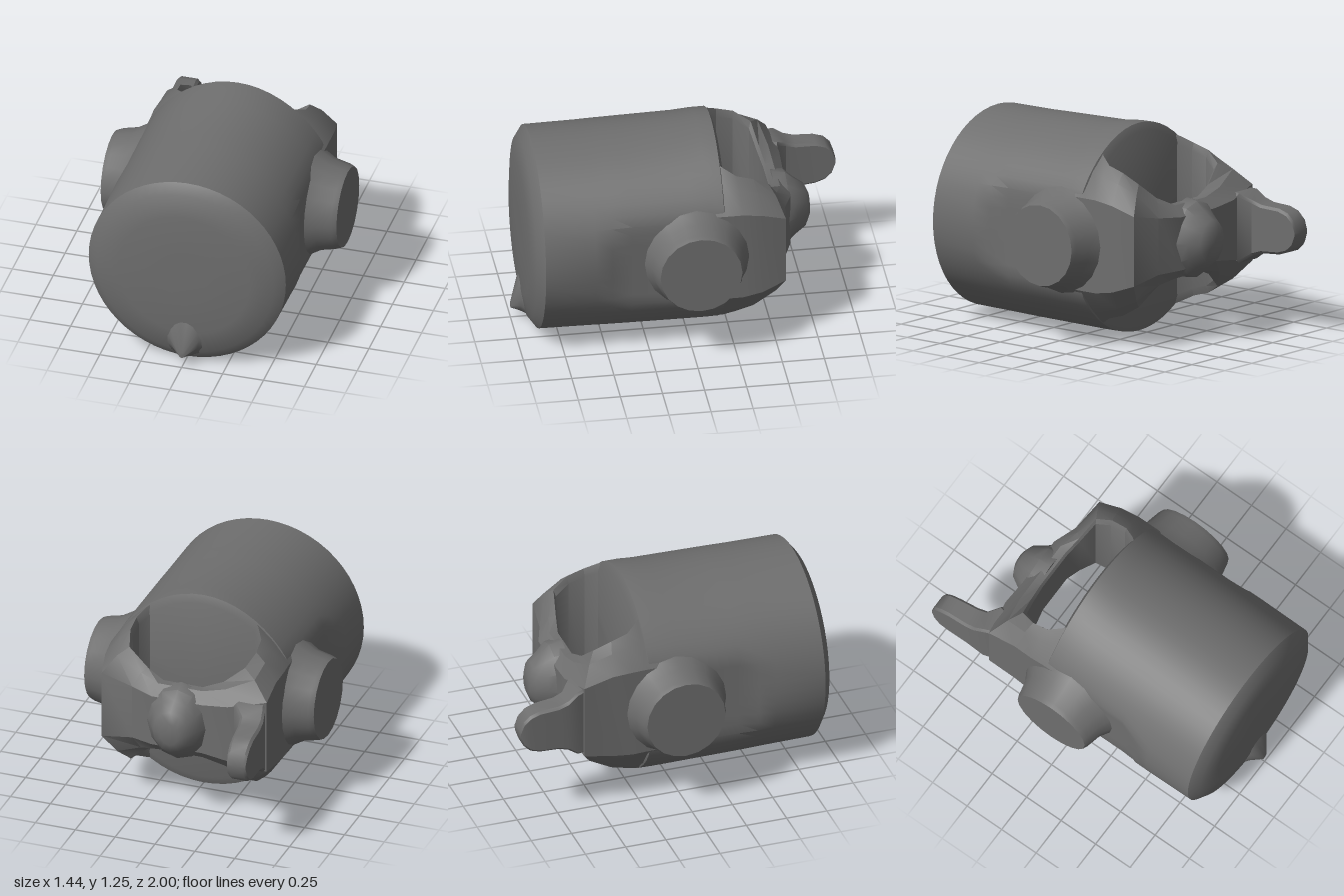
import * as THREE from 'three';
import { toCreasedNormals } from 'three/addons/utils/BufferGeometryUtils.js';

const CY = 0.62; // height of the main axis
const material = new THREE.MeshStandardMaterial({ color: 0x6e6e6e });

// Skin a list of equal-length rings and close both ends with a fan.
function loft(rings) {
  const n = rings[0].length, pos = [], idx = [];
  rings.forEach(r => r.forEach(p => pos.push(...p)));
  for (let k = 0; k < rings.length - 1; k++) {
    for (let i = 0; i < n; i++) {
      const a = k * n + i, b = k * n + (i + 1) % n;
      idx.push(a, b, b + n, a, b + n, a + n);
    }
  }
  for (const k of [0, rings.length - 1]) {
    const c = pos.length / 3;
    pos.push(...[0, 1, 2].map(j => rings[k].reduce((s, p) => s + p[j], 0) / n));
    for (let i = 0; i < n; i++) {
      const a = k * n + i, b = k * n + (i + 1) % n;
      idx.push(c, ...(k ? [a, b] : [b, a]));
    }
  }
  const g = new THREE.BufferGeometry();
  g.setAttribute('position', new THREE.Float32BufferAttribute(pos, 3));
  g.setIndex(idx);
  return g;
}

// Points of a full turn, as [cos, sin] pairs
const turn = n => Array.from({ length: n }, (_, i) => {
  const t = i / n * Math.PI * 2;
  return [Math.cos(t), Math.sin(t)];
});

function part(name, geometry, crease = 0.5) {
  const mesh = new THREE.Mesh(toCreasedNormals(geometry, crease), material);
  mesh.name = name;
  return mesh;
}

function turned(profile, sides) {
  return new THREE.LatheGeometry(profile.map(p => new THREE.Vector2(...p)), sides);
}

// Barrel: z, radius, half width of the flattened sides, extra height on top
function barrel() {
  const stations = [
    [-0.21, 0.56, 0.5, 0.035], [-0.19, 0.608, 0.54, 0.035], [-0.1, 0.61, 0.54, 0.03],
    [0, 0.61, 0.54, 0.015], [0.36, 0.608, 0.54, 0.005], [0.48, 0.607, 0.57, 0.002],
    [0.58, 0.605, 0.605, 0], [0.88, 0.602, 0.602, 0], [0.925, 0.54, 0.54, 0],
    [0.95, 0.4, 0.4, 0], [0.955, 0.15, 0.15, 0],
  ];
  return loft(stations.map(([z, r, w, lift]) => turn(56).map(([c, s]) =>
    [THREE.MathUtils.clamp(r * c, -w, w), CY - 0.005 + r * s + lift * Math.max(0, s) ** 4, z])));
}

// Yoke around the open window: outer x, z, inner x, z, half heights outer and inner
function yoke() {
  const stations = [
    [0.54, -0.12, 0.27, -0.15, 0.28, 0.53], [0.54, -0.21, 0.33, -0.21, 0.28, 0.5],
    [0.54, -0.3, 0.37, -0.28, 0.28, 0.46], [0.53, -0.42, 0.37, -0.38, 0.26, 0.43],
    [0.5, -0.56, 0.34, -0.47, 0.21, 0.37], [0.3, -0.585, 0.22, -0.5, 0.17, 0.27],
    [0.16, -0.64, 0.12, -0.52, 0.16, 0.22], [-0.16, -0.64, -0.12, -0.52, 0.16, 0.22],
    [-0.32, -0.645, -0.24, -0.5, 0.18, 0.27], [-0.55, -0.6, -0.35, -0.47, 0.23, 0.37],
    [-0.54, -0.42, -0.39, -0.38, 0.27, 0.43], [-0.545, -0.3, -0.38, -0.28, 0.28, 0.46],
    [-0.54, -0.21, -0.33, -0.21, 0.28, 0.5], [-0.54, -0.12, -0.27, -0.15, 0.28, 0.53],
  ];
  return loft(stations.map(([ox, oz, ix, iz, a, h]) => {
    const at = (t, dy) => [ox + (ix - ox) * t, CY + dy, oz + (iz - oz) * t];
    const m = (a + h) / 2 + 0.03;
    return [at(0, a), at(0, -a), at(0.5, -m), at(0.9, -h), at(1, -h * 0.9),
      at(1, h * 0.9), at(0.9, h), at(0.5, m)];
  }));
}

// Lug: z, left and right x, half height, tapering to a round tip
function lug() {
  const stations = [
    [-0.57, -0.53, -0.37, 0.22], [-0.64, -0.555, -0.36, 0.21], [-0.7, -0.565, -0.42, 0.165],
    [-0.76, -0.568, -0.43, 0.145], [-0.88, -0.572, -0.442, 0.138], [-0.94, -0.574, -0.446, 0.118],
    [-0.98, -0.572, -0.449, 0.08], [-1, -0.568, -0.451, 0.025],
  ];
  return loft(stations.map(([z, x0, x1, h]) => {
    const e = 0.015;
    return [[x1, h - e], [x1, e - h], [x1 - e, -h], [x0 + e, -h], [x0, e - h], [x0, h - e],
      [x0 + e, h], [x1 - e, h]].map(([x, y]) => [x, CY + y, z]);
  }));
}

// Pointed nub low on the front cap: z, centre height, half width, half height
function nub() {
  const stations = [[0.87, 0.17, 0.2, 0.15], [0.95, 0.175, 0.09, 0.12], [1, 0.09, 0.018, 0.018]];
  return loft(stations.map(([z, y, rx, ry]) => turn(14).map(([c, s]) => [rx * c, y + ry * s, z])));
}

export function createModel() {
  const model = new THREE.Group();
  model.name = 'barrelWithYoke';
  model.add(part('barrel', barrel()), part('yoke', yoke(), 0.45), part('lug', lug(), 0.6), part('frontNub', nub(), 0.8));

  // Flared side bosses
  const flare = [[0, 0.4], [0.36, 0.4], [0.35, 0.46], [0.315, 0.53], [0.275, 0.6], [0.255, 0.69], [0.243, 0.72], [0, 0.72]];
  for (const side of [1, -1]) {
    const boss = part(side > 0 ? 'leftBoss' : 'rightBoss', turned(flare, 20));
    boss.rotation.z = -side * Math.PI / 2;
    boss.position.set(0, CY, -0.025);
    model.add(boss);
  }

  // Rounded knob on the back of the yoke
  const knob = part('rearKnob', turned([[0, 0.53], [0.2, 0.55], [0.19, 0.63], [0.15, 0.68], [0.11, 0.745], [0.06, 0.77], [0, 0.77]], 12), 0.7);
  knob.rotation.x = -Math.PI / 2;
  knob.position.y = CY;
  knob.scale.z = 1.2;
  model.add(knob);
  return model;
}
